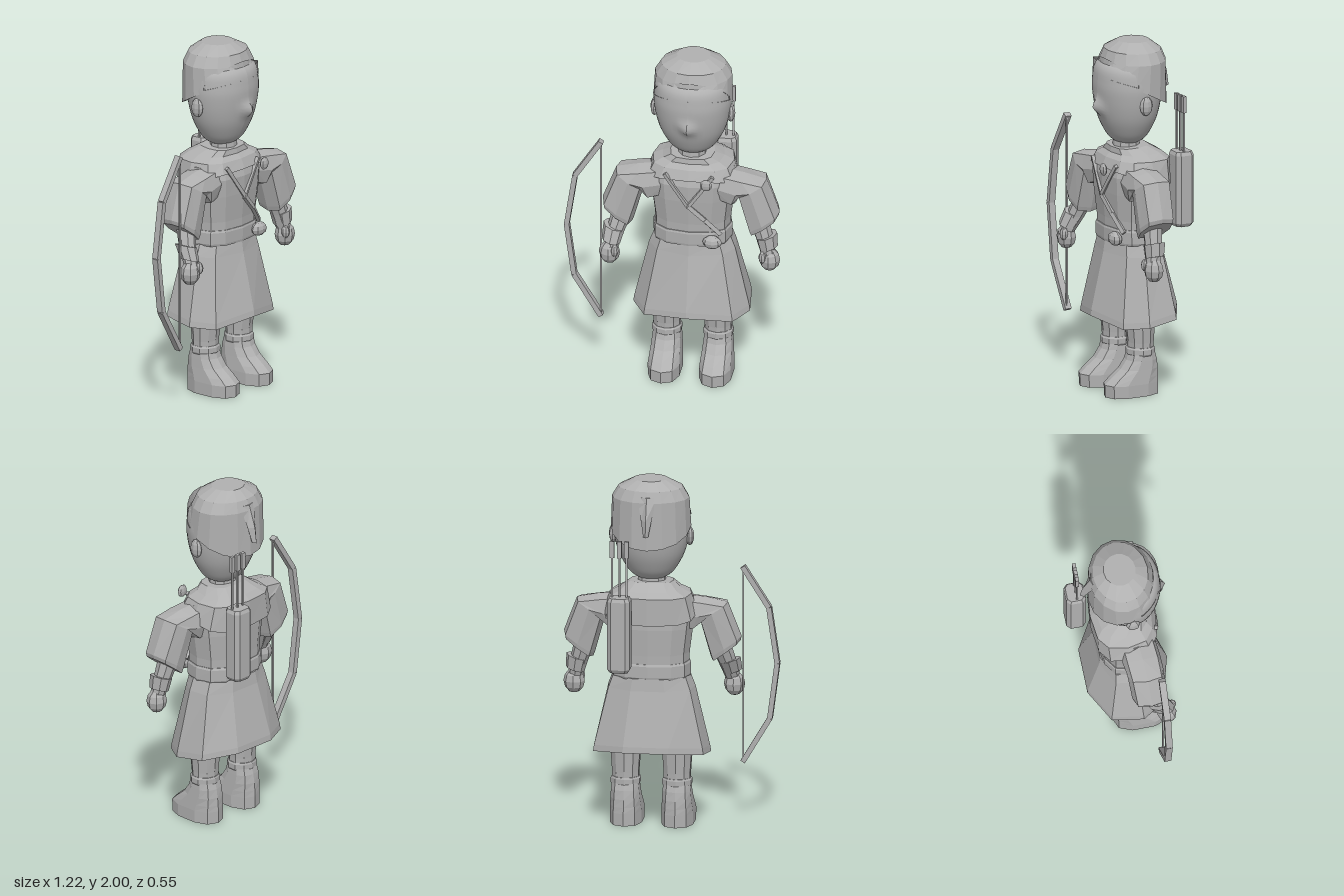
import * as THREE from 'three';

const cloth = new THREE.MeshStandardMaterial({ color: 0xb0b0b0 });
cloth.name = 'plain grey';
const V = (x, y, z) => new THREE.Vector3(x, y, z);
const squash = (v, e) => Math.sign(v) * Math.abs(v) ** e;

function add(parent, name, geometry, smooth = false) {
  let g = geometry;
  if (!smooth) {
    g = g.index ? g.toNonIndexed() : g;
    g.computeVertexNormals();
  }
  const mesh = new THREE.Mesh(g, cloth);
  mesh.name = name;
  parent.add(mesh);
  return mesh;
}

// skin over a stack of closed rings, capped at both ends
function loft(rings, caps = true) {
  const n = rings[0].length, pos = [], idx = [];
  rings.forEach(r => r.forEach(p => pos.push(p.x, p.y, p.z)));
  for (let i = 0; i < rings.length - 1; i++) for (let j = 0; j < n; j++) {
    const k = (j + 1) % n, a = i * n + j, b = i * n + k;
    idx.push(a, b, b + n, a, b + n, a + n);
  }
  if (caps) {
    const t = (rings.length - 1) * n;
    for (let j = 1; j < n - 1; j++) idx.push(0, j + 1, j, t, t + j, t + j + 1);
  }
  const g = new THREE.BufferGeometry();
  g.setAttribute('position', new THREE.Float32BufferAttribute(pos, 3));
  g.setIndex(idx);
  g.computeVertexNormals();
  return g;
}

// ring with an outward half vector and a depth half size; e < 1 squares it off
function ring(c, out, rz, n, e = 1) {
  return Array.from({ length: n }, (_, j) => {
    const a = j / n * Math.PI * 2;
    return c.clone().addScaledVector(out, squash(Math.sin(a), e)).add(V(0, 0, rz * squash(Math.cos(a), e)));
  });
}

// upright stack of [y, halfWidth, zBack, zFront]
const stack = (rows, n, e) => loft(rows.map(([y, rx, z0, z1]) =>
  ring(V(0, y, (z0 + z1) / 2), V(rx, 0, 0), (z1 - z0) / 2, n, e)));

// straight bar between two points
function bar(parent, name, a, b, w, d) {
  const m = add(parent, name, new THREE.BoxGeometry(w, a.distanceTo(b), d));
  m.position.copy(a).add(b).multiplyScalar(0.5);
  m.quaternion.setFromUnitVectors(V(0, 1, 0), b.clone().sub(a).normalize());
  return m;
}

function ball(parent, name, p, rx, ry, rz) {
  const m = add(parent, name, new THREE.SphereGeometry(1, 8, 6).scale(rx, ry, rz));
  m.position.copy(p);
  return m;
}

function makeHead(body) {
  // smooth face: lathed profile, flattened, with a nose pulled forward
  const outline = new THREE.SplineCurve([[0.001, 1.412], [0.06, 1.418], [0.115, 1.45], [0.155, 1.505], [0.19, 1.58],
    [0.213, 1.68], [0.217, 1.78], [0.18, 1.88], [0.001, 1.92]].map(p => new THREE.Vector2(...p)));
  const face = new THREE.LatheGeometry(outline.getPoints(40), 40);
  const p = face.attributes.position;
  for (let i = 0; i < p.count; i++) {
    const x = p.getX(i), y = p.getY(i), z = p.getZ(i);
    const nose = z > 0 ? 0.042 * Math.exp(-((x / 0.035) ** 2) - ((y - 1.64) / 0.04) ** 2) : 0;
    p.setZ(i, z * 0.86 + 0.045 + nose);
  }
  face.computeVertexNormals();
  add(body, 'face', face, true);
  for (const s of [-1, 1]) ball(body, 'ear', V(s * 0.215, 1.665, 0.04), 0.025, 0.055, 0.04);

  // cap with a slanting lower edge
  const edge = z => 1.715 + 0.53 * z;
  const hem = ring(V(0, 0, 0.025), V(0.226, 0, 0), 0.2, 16);
  hem.forEach(q => { q.y = edge(q.z); });
  const hat = [hem,
    ring(V(0, 1.895, 0.01), V(0.218, 0, 0), 0.178, 16),
    ring(V(0, 1.955, 0.01), V(0.182, 0, 0), 0.155, 16),
    ring(V(0, 2, 0.005), V(0.095, 0, 0), 0.09, 16)];
  add(body, 'cap', loft(hat));

  // turned up brim, tapering to a point on each side
  const sections = [];
  for (let i = 0; i <= 10; i++) {
    const a = (i / 10 - 0.5) * 2.5, t = Math.cos(a * 1.25);
    const at = (r, y) => V(Math.sin(a) * (0.222 + r), y, 0.025 + Math.cos(a) * (0.195 + r));
    const low = 1.775 + 0.045 * t, high = low + 0.015 + 0.08 * Math.sqrt(Math.max(t, 0));
    sections.push([at(-0.015, low), at(-0.03, high), at(0.004, high), at(0.008, low)]);
  }
  add(body, 'capBrim', loft(sections.reverse()));

  // feather hanging at the back
  add(body, 'feather', loft([
    ring(V(0, 1.71, -0.2), V(0.014, 0, 0), 0.02, 4),
    ring(V(0, 1.8, -0.18), V(0.03, 0, 0), 0.028, 4),
    ring(V(0, 1.925, -0.145), V(0.055, 0, 0), 0.018, 4)]));
}

function makeArm(body, side, handZ) {
  const arm = new THREE.Group();
  arm.name = side > 0 ? 'leftArm' : 'rightArm';
  arm.scale.x = side;
  body.add(arm);
  // wide sleeve: [outerX, outerY, innerX, innerY, zBack, zFront]
  const sleeve = [[0.495, 1.06, 0.335, 0.94, 0, 0.185], [0.5, 1.085, 0.325, 0.965, -0.005, 0.19],
    [0.425, 1.28, 0.265, 1.18, -0.02, 0.185], [0.3, 1.307, 0.23, 1.12, -0.03, 0.185], [0.14, 1.325, 0.13, 1.15, -0.04, 0.17]];
  add(arm, 'sleeve', loft(sleeve.map(([ox, oy, ix, iy, z0, z1]) => ring(
    V((ox + ix) / 2, (oy + iy) / 2, (z0 + z1) / 2), V((ox - ix) / 2, (oy - iy) / 2, 0), (z1 - z0) / 2, 8, 0.65))));
  const tube = (name, rows) => add(arm, name, loft(rows.map(([x, y, z, r]) =>
    ring(V(x, y, z), V(r * 0.95, r * 0.3, 0), r, 8))));
  const mid = 0.5 * (0.09 + handZ);
  tube('forearm', [[0.44, 0.82, handZ, 0.042], [0.415, 0.92, mid, 0.05], [0.375, 1.05, 0.09, 0.06]]);
  tube('wristGuard', [[0.44, 0.855, handZ - 0.01, 0.055], [0.428, 0.93, mid, 0.063]]);
  ball(arm, 'hand', V(0.447, 0.785, handZ), 0.06, 0.07, 0.055);
  ball(arm, 'thumb', V(0.412, 0.81, handZ + 0.035), 0.022, 0.036, 0.025);
}

function makeLeg(body, side) {
  const leg = new THREE.Group();
  leg.name = side > 0 ? 'leftLeg' : 'rightLeg';
  leg.position.x = side * 0.145;
  body.add(leg);
  add(leg, 'trouser', stack([[0.2, 0.076, -0.03, 0.11], [0.3, 0.078, -0.035, 0.115], [0.5, 0.092, -0.05, 0.14]], 10));
  add(leg, 'bootCuff', stack([[0.225, 0.08, -0.038, 0.115], [0.235, 0.086, -0.042, 0.122],
    [0.262, 0.086, -0.042, 0.122], [0.272, 0.08, -0.038, 0.115]], 10));
  add(leg, 'boot', stack([[0, 0.093, -0.065, 0.262], [0.07, 0.093, -0.065, 0.265], [0.105, 0.09, -0.062, 0.225],
    [0.15, 0.086, -0.058, 0.165], [0.2, 0.082, -0.05, 0.128], [0.24, 0.078, -0.038, 0.115]], 10, 0.8));
}

export function createModel() {
  const model = new THREE.Group();
  model.name = 'archer';
  const body = new THREE.Group();
  body.name = 'body';
  body.position.x = 0.1;
  model.add(body);

  makeHead(body);
  add(body, 'neck', stack([[1.34, 0.085, -0.03, 0.13], [1.46, 0.075, -0.02, 0.12]], 10));

  // tunic top and belt
  add(body, 'tunic', stack([[0.86, 0.212, -0.115, 0.18], [1.0, 0.216, -0.118, 0.185], [1.15, 0.235, -0.125, 0.2],
    [1.25, 0.245, -0.12, 0.205], [1.32, 0.235, -0.1, 0.185], [1.36, 0.16, -0.07, 0.14]], 12, 0.8));
  add(body, 'belt', stack([[0.862, 0.218, -0.12, 0.187], [0.875, 0.224, -0.125, 0.19],
    [0.94, 0.224, -0.125, 0.192], [0.952, 0.218, -0.12, 0.188]], 12, 0.8));

  // skirt: hem runs from the front point around the model's left side
  const half = [[0, 0.44, 0.275], [0.25, 0.405, 0.205], [0.33, 0.415, 0.08], [0.31, 0.44, -0.1], [0.13, 0.46, -0.203]];
  const hem = half.map(p => V(...p)).concat(half.slice(1).reverse().map(([x, y, z]) => V(-x, y, z)));
  const level = (y, sx, sz, dz) => hem.map(p => V(p.x * sx, y, p.z * sz + dz));
  add(body, 'skirt', loft([hem, hem.map(p => V(p.x * 0.985, p.y + 0.035, p.z * 0.985)),
    level(0.8, 0.74, 0.68, 0.008), level(0.87, 0.66, 0.64, 0.008)]));

  // shoulder cape, longer at the back
  const drape = (yFront, yBack, rx, z0, z1) => {
    const r = ring(V(0, 0, (z0 + z1) / 2), V(rx, 0, 0), (z1 - z0) / 2, 12, 0.7);
    r.forEach(p => { p.y = yBack + (yFront - yBack) * (p.z - z0) / (z1 - z0); });
    return r;
  };
  add(body, 'cape', loft([drape(1.29, 1.185, 0.265, -0.163, 0.205), drape(1.345, 1.34, 0.23, -0.163, 0.18),
    drape(1.37, 1.37, 0.175, -0.13, 0.15), drape(1.4, 1.41, 0.125, -0.06, 0.145)]));

  // cords, chest strap, brooch and pouch
  for (const s of [-1, 1]) bar(body, 'capeCord', V(s * 0.135, 1.32, 0.188), V(0, 1.13, 0.205), 0.02, 0.02);
  bar(body, 'chestStrap', V(0, 1.13, 0.203), V(0.09, 1.04, 0.188), 0.024, 0.02);
  bar(body, 'chestStrap', V(0.09, 1.04, 0.188), V(0.175, 0.94, 0.16), 0.024, 0.02);
  ball(body, 'brooch', V(0.11, 1.305, 0.255), 0.034, 0.036, 0.016);
  ball(body, 'pouch', V(0.135, 0.905, 0.195), 0.055, 0.04, 0.035);

  makeArm(body, 1, 0.12);
  makeArm(body, -1, 0.185);
  makeLeg(body, 1);
  makeLeg(body, -1);

  // bow and string
  const bow = new THREE.Group();
  bow.name = 'bow';
  model.add(bow);
  const limb = [[-0.4, 1.47], [-0.547, 1.24], [-0.594, 0.92], [-0.552, 0.6], [-0.4, 0.345]].map(([x, y]) => V(x, y, 0.147));
  for (let i = 0; i < 4; i++) bar(bow, 'bowLimb', limb[i], limb[i + 1], 0.029, 0.038);
  bar(bow, 'bowString', V(-0.4, 0.36, 0.152), V(-0.4, 1.455, 0.152), 0.009, 0.009);

  // quiver with three arrows
  const quiver = new THREE.Group();
  quiver.name = 'quiver';
  quiver.position.set(0.246, 0, -0.22);
  model.add(quiver);
  const octagon = (y, s) => [[0.04, 0.056], [0.063, 0.034], [0.063, -0.034], [0.04, -0.056],
    [-0.04, -0.056], [-0.063, -0.034], [-0.063, 0.034], [-0.04, 0.056]].map(([x, z]) => V(x * s, y, z * s));
  add(quiver, 'quiverCase', loft([octagon(0.935, 0.8), octagon(0.955, 1), octagon(1.345, 1), octagon(1.365, 0.85)]));
  for (const x of [-0.041, 0, 0.041]) {
    bar(quiver, 'arrowShaft', V(x, 1.34, 0.005), V(x, 1.6, 0.005), 0.01, 0.01);
    bar(quiver, 'arrowFletching', V(x, 1.59, 0.005), V(x, 1.685, 0.005), 0.026, 0.02);
  }
  return model;
}
